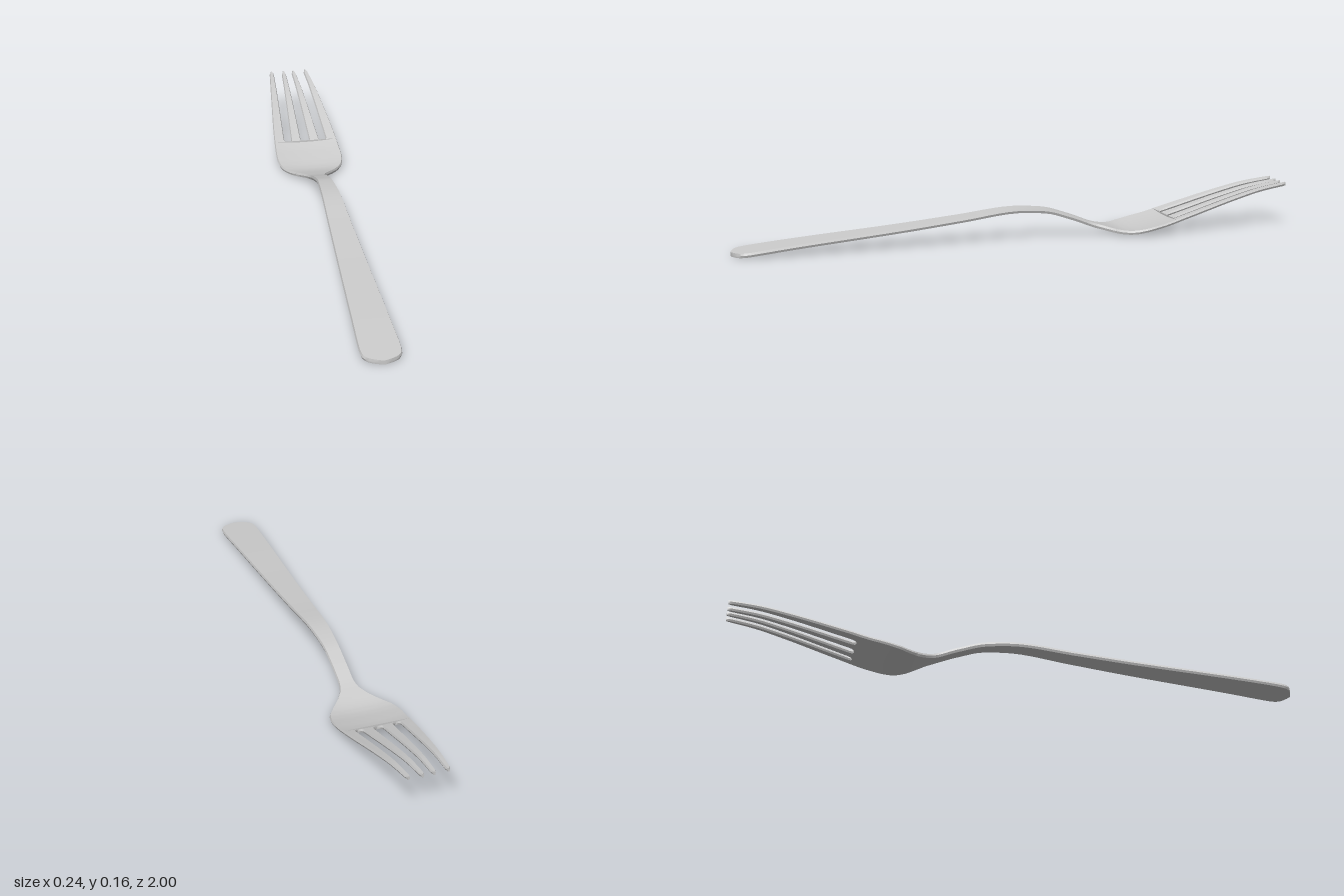
import * as THREE from 'three';
import { toCreasedNormals } from 'three/addons/utils/BufferGeometryUtils.js';

// Smooth monotone interpolation through [z, value] pairs sorted by z
function curve(p) {
  const n = p.length;
  const s = p.slice(1).map((q, i) => (q[1] - p[i][1]) / (q[0] - p[i][0]));
  const m = p.map((_, i) => {
    if (i === 0) return s[0];
    if (i === n - 1) return s[n - 2];
    return s[i - 1] * s[i] <= 0 ? 0 : (2 * s[i - 1] * s[i]) / (s[i - 1] + s[i]);
  });
  return (z) => {
    let i = 0;
    while (i < n - 2 && z > p[i + 1][0]) i++;
    const h = p[i + 1][0] - p[i][0];
    const t = THREE.MathUtils.clamp((z - p[i][0]) / h, 0, 1);
    const a = t * t * (3 - 2 * t);
    return p[i][1] * (1 - a) + p[i + 1][1] * a
      + h * (t * (1 - t) ** 2 * m[i] - t * t * (1 - t) * m[i + 1]);
  };
}

// Side profile: height of the middle of the metal
const height = curve([[-1, 0.151], [-0.9, 0.136], [-0.8, 0.112], [-0.6, 0.055], [-0.5, 0.027],
  [-0.4, 0.011], [-0.3, 0.031], [-0.2, 0.068], [-0.1, 0.097], [0, 0.104], [0.2, 0.084],
  [0.4, 0.064], [0.8, 0.03], [1, 0.01]]);

// Plan outline: half width
const halfWidth = curve([[-1, 0.074], [-0.8, 0.095], [-0.56, 0.117], [-0.47, 0.121], [-0.42, 0.114],
  [-0.38, 0.092], [-0.33, 0.053], [-0.295, 0.033], [-0.26, 0.027], [-0.15, 0.027], [0, 0.033],
  [0.4, 0.048], [0.8, 0.063], [0.93, 0.067], [0.96, 0.064], [0.978, 0.054], [0.99, 0.035], [1, 0.008]]);

const thickness = curve([[-1, 0.013], [-0.5, 0.013], [-0.2, 0.017], [0, 0.016], [1, 0.015]]);
const SLOT = -0.56;

// Head is slightly dished across its width
const dish = (x, z) => 0.5 * x * x * THREE.MathUtils.smoothstep(-z, 0.28, 0.42);

// Loft a bevelled strip between the edge functions lo(z) and hi(z)
function strip(name, zs, lo, hi, columns, material) {
  const pos = [], index = [];
  const ring = 2 * columns + 4;
  zs.forEach((z) => {
    const a = lo(z), b = hi(z), t = thickness(z) / 2;
    const bevel = Math.min(0.003, (b - a) * 0.2);
    const add = (x, dy) => pos.push(x, height(z) + dish(x, z) + dy, z);
    const across = (i) => a + bevel + (b - a - 2 * bevel) * (i / columns);
    for (let i = 0; i <= columns; i++) add(across(i), t);
    add(b, 0);
    for (let i = columns; i >= 0; i--) add(across(i), -t);
    add(a, 0);
  });
  for (let r = 0; r < zs.length - 1; r++) {
    for (let i = 0; i < ring; i++) {
      const j = (i + 1) % ring, p = r * ring, q = p + ring;
      index.push(p + i, q + i, p + j, p + j, q + i, q + j);
    }
  }
  // End caps
  const last = (zs.length - 1) * ring;
  for (let i = 1; i < ring - 1; i++) {
    index.push(0, i, i + 1, last, last + i + 1, last + i);
  }
  const g = new THREE.BufferGeometry();
  g.setAttribute('position', new THREE.Float32BufferAttribute(pos, 3));
  g.setIndex(index);
  const mesh = new THREE.Mesh(toCreasedNormals(g, 0.6), material);
  mesh.name = name;
  return mesh;
}

// Stations from z = a down to z = b
const stations = (a, b, n) => Array.from({ length: n + 1 }, (_, i) => a + ((b - a) * i) / n);

export function createModel() {
  const group = new THREE.Group();
  group.name = 'fork';
  const material = new THREE.MeshStandardMaterial({ color: 0xcccccc, side: THREE.DoubleSide });

  // Handle, neck and palm of the head
  const bodyZ = [...stations(1, 0.93, 14), ...stations(0.9, -0.1, 30), ...stations(-0.12, SLOT, 44)];
  group.add(strip('handleAndHead', bodyZ, (z) => -halfWidth(z), halfWidth, 10, material));

  // Slots open from a rounded root
  const along = (z) => (SLOT - z) / (SLOT + 1);
  const open = (z) => {
    const d = Math.min((SLOT - z) / 0.018, 1);
    return Math.sqrt(Math.max(0, 1 - (1 - d) ** 2));
  };
  const { lerp } = THREE.MathUtils;
  const sideSlot = (z, dir) => lerp(0.066, 0.0425, along(z)) + dir * open(z) * lerp(0.013, 0.0155, along(z));
  const midSlot = (z) => open(z) * lerp(0.016, 0.011, along(z));

  // Tips narrow slightly at the very end
  const tip = (z) => 0.004 * THREE.MathUtils.smoothstep(-z, 0.985, 1);
  const tines = [
    ['outerTine', (z) => sideSlot(z, 1), halfWidth],
    ['innerTine', midSlot, (z) => sideSlot(z, -1)],
  ];
  const tineZ = [...stations(SLOT, -0.58, 8), ...stations(-0.6, -0.98, 19), -0.988, -0.995, -1];
  for (const [name, near, far] of tines) {
    const lo = (z) => near(z) + tip(z), hi = (z) => far(z) - tip(z);
    group.add(strip(name + 'Left', tineZ, lo, hi, 3, material));
    group.add(strip(name + 'Right', tineZ, (z) => -hi(z), (z) => -lo(z), 3, material));
  }
  return group;
}
